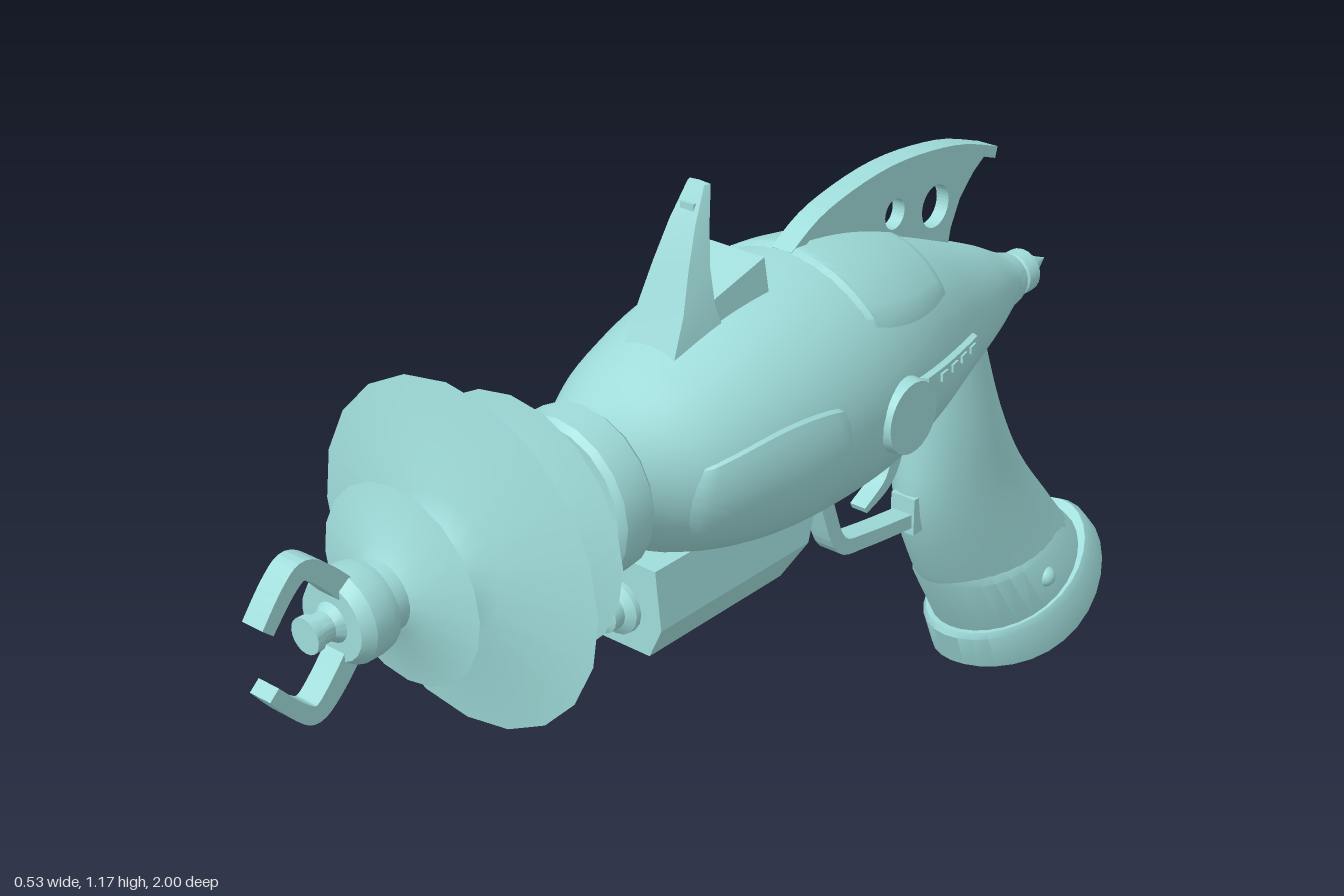
import * as THREE from 'three';
import { mergeVertices, toCreasedNormals } from 'three/addons/utils/BufferGeometryUtils.js';
import { ConvexGeometry } from 'three/addons/geometries/ConvexGeometry.js';

const teal = new THREE.MeshStandardMaterial({ color: 0x9fdcda });
teal.name = 'paleTeal';

// Smooth interpolation through the rows of a table, t in 0..1
function sample(rows, t) {
  const f = Math.min(Math.max(t, 0), 1) * (rows.length - 1);
  const i = Math.min(Math.floor(f), rows.length - 2), w = f - i;
  const row = k => rows[Math.min(Math.max(k, 0), rows.length - 1)];
  return rows[0].map((_, c) => {
    const [a, b, d, e] = [row(i - 1)[c], row(i)[c], row(i + 1)[c], row(i + 2)[c]];
    return b + 0.5 * w * (d - a + w * (2 * a - 5 * b + 4 * d - e + w * (3 * (b - d) + e - a)));
  });
}

// Surface from a rule f(u, v) -> [x, y, z]
function grid(nu, nv, f, crease = 0.6) {
  const pos = [], idx = [];
  for (let j = 0; j <= nv; j++) for (let i = 0; i <= nu; i++) pos.push(...f(i / nu, j / nv));
  for (let j = 0; j < nv; j++) for (let i = 0; i < nu; i++) {
    const a = j * (nu + 1) + i, d = a + nu + 1;
    idx.push(a, a + 1, d + 1, a, d + 1, d);
  }
  const geo = new THREE.BufferGeometry();
  geo.setAttribute('position', new THREE.Float32BufferAttribute(pos, 3));
  geo.setIndex(idx);
  return toCreasedNormals(mergeVertices(geo), crease);
}

// Body sections from nose to tail, evenly spaced in z: [top y, bottom y, half width]
const NOSE = 0.37, TAIL = -0.71;
const bodyRows = [
  [0.895, 0.675, 0.11], [0.94, 0.622, 0.17], [0.98, 0.585, 0.2], [1.0, 0.57, 0.213],
  [1.0, 0.568, 0.21], [0.98, 0.573, 0.19], [0.942, 0.59, 0.155], [0.895, 0.62, 0.115],
  [0.845, 0.66, 0.08], [0.79, 0.705, 0.042]];
function bodyPoint(a, z, lift = 0) {
  const [top, bottom, hx] = sample(bodyRows, (NOSE - z) / (NOSE - TAIL));
  return [(hx + lift) * Math.cos(a),
    (top + bottom) / 2 + ((top - bottom) / 2 + lift) * Math.sin(a), z];
}

// Thin raised panel hugging the body; round softens its corners
function panel(a0, a1, z0, z1, lift, round) {
  const n = 18;
  return grid(n, n, (u, v) => {
    const p = 2 * u - 1, q = 2 * v - 1;
    const edge = u === 0 || u === 1 || v === 0 || v === 1;
    const a = (a0 + a1) / 2 + (a1 - a0) / 2 * p * Math.sqrt(1 - round * q * q);
    const z = (z0 + z1) / 2 + (z1 - z0) / 2 * q * Math.sqrt(1 - round * p * p);
    return bodyPoint(a, z, edge ? -0.004 : lift);
  });
}

// Flat plate drawn in (z, y), centred on x = 0
function plate(pts, halfWidth, holes = []) {
  const shape = new THREE.Shape(pts.map(p => new THREE.Vector2(p[0], p[1])));
  for (const [z, y, r] of holes) shape.holes.push(new THREE.Path().absarc(z, y, r, 0, Math.PI * 2, true));
  const geo = new THREE.ExtrudeGeometry(shape, { depth: halfWidth * 2, bevelEnabled: false, curveSegments: 20 });
  return geo.translate(0, 0, -halfWidth).rotateY(-Math.PI / 2);
}

// Bent strip along a (z, y) path with a tapering thickness
function strip(path, t0, t1, halfWidth) {
  const curve = new THREE.SplineCurve(path.map(p => new THREE.Vector2(p[0], p[1])));
  const one = [], two = [], n = 20;
  for (let i = 0; i <= n; i++) {
    const p = curve.getPoint(i / n), d = curve.getTangent(i / n);
    const t = (t0 + (t1 - t0) * i / n) / 2;
    one.push([p.x - d.y * t, p.y + d.x * t]);
    two.unshift([p.x + d.y * t, p.y - d.x * t]);
  }
  return plate([...one, ...two], halfWidth);
}

// Turned part along z from [radius, z] points
function turned(pts, sides, y) {
  const geo = new THREE.LatheGeometry(pts.map(p => new THREE.Vector2(p[0], p[1])), sides);
  return toCreasedNormals(geo.rotateX(Math.PI / 2), 0.5).translate(0, y, 0);
}

// Oval loft; rows: [front z, front y, back z, back y, half width, sag, scale]
function ovalLoft(rows, steps, smooth) {
  return grid(32, steps, (u, v) => {
    const lin = rows[Math.round(v * (rows.length - 1))];
    const [fz, fy, bz, by, hw, sag, r] = smooth ? sample(rows, v) : lin;
    const c = Math.cos(u * Math.PI * 2) * r, s = Math.sin(u * Math.PI * 2) * r;
    const dz = (bz - fz) / 2, dy = (by - fy) / 2, len = Math.hypot(dz, dy);
    const drop = sag * (1 - c * c);
    return [hw * s, (fy + by) / 2 + dy * c + dz / len * drop, (fz + bz) / 2 + dz * c - dy / len * drop];
  });
}

export function createModel() {
  const model = new THREE.Group();
  model.name = 'rayGun';
  const add = (name, geo, x = 0, y = 0, z = 0) => {
    const mesh = new THREE.Mesh(geo, teal);
    mesh.name = name;
    mesh.position.set(x, y, z);
    model.add(mesh);
    return mesh;
  };

  // Body with its raised panels
  add('body', grid(40, 40, (u, v) => bodyPoint(u * Math.PI * 2, TAIL + (NOSE - TAIL) * v)));
  add('saddlePanel', panel(0.5, Math.PI - 0.5, -0.36, -0.07, 0.006, 0.2));
  add('leftSidePanel', panel(-0.75, 0.35, 0.0, 0.31, 0.004, 0.3));
  add('rightSidePanel', panel(Math.PI - 0.35, Math.PI + 0.75, 0.0, 0.31, 0.004, 0.3));

  // Barrel with collar and three sharp cooling discs
  add('barrel', turned([
    [0, 0.365], [0.125, 0.365], [0.134, 0.375], [0.134, 0.43], [0.125, 0.44], [0.085, 0.44],
    [0.075, 0.452], [0.06, 0.468], [0.068, 0.485], [0.1, 0.497], [0.203, 0.517], [0.1, 0.537],
    [0.065, 0.55], [0.056, 0.57], [0.07, 0.59], [0.11, 0.608], [0.267, 0.636], [0.11, 0.664],
    [0.075, 0.676], [0.056, 0.69], [0.056, 0.71], [0.075, 0.724], [0.152, 0.743], [0.075, 0.762],
    [0.052, 0.775], [0.052, 0.8], [0.066, 0.805], [0.07, 0.82], [0.07, 0.85], [0.058, 0.868],
    [0.03, 0.868], [0.022, 0.88], [0.022, 0.9], [0.027, 0.902], [0.027, 0.915], [0, 0.915]], 20, 0.775));

  // Two claws around the muzzle
  const claw = [[0.84, 0.81], [0.885, 0.86], [0.92, 0.885], [0.95, 0.868], [0.99, 0.822]];
  add('upperClaw', strip(claw, 0.035, 0.022, 0.02));
  add('lowerClaw', strip(claw.map(([z, y]) => [z, 1.55 - y]), 0.035, 0.022, 0.02));

  // Tail point
  add('tailPoint', turned([[0, -0.825], [0.027, -0.757], [0.04, -0.752], [0.04, -0.722],
    [0.03, -0.716], [0.03, -0.7], [0.046, -0.7], [0.05, -0.675], [0, -0.675]], 20, 0.745));

  // Rear fin with two holes and a thicker rim
  add('rearFin', plate([[-0.08, 0.995], [-0.17, 1.035], [-0.3, 1.06], [-0.45, 1.055], [-0.61, 1.01],
    [-0.57, 0.985], [-0.535, 0.95], [-0.512, 0.905], [-0.5, 0.85], [-0.3, 0.9], [-0.1, 0.95]], 0.012,
  [[-0.465, 0.957, 0.037], [-0.353, 0.978, 0.026]]));
  add('rearFinRim', strip([[-0.08, 0.995], [-0.17, 1.037], [-0.33, 1.06], [-0.5, 1.045], [-0.625, 1.007]],
    0.016, 0.02, 0.02));

  // Front sight: swept blade, tab and wedge
  const bladeRows = [[0.93, 0.235, 0.12, 0.062], [1.0, 0.203, 0.145, 0.055], [1.06, 0.18, 0.142, 0.043],
    [1.12, 0.153, 0.128, 0.031], [1.172, 0.122, 0.112, 0.02], [1.175, 0.115, 0.115, 0]];
  add('sightBlade', grid(4, 5, (u, v) => {
    const [y, zf, zb, hw] = bladeRows[Math.round(v * 5)], k = Math.round(u * 4) % 4;
    return [[-0.8, 0.8, 1, -1][k] * hw, y, k < 2 ? zf : zb];
  }));
  add('sightTab', new THREE.BoxGeometry(0.026, 0.055, 0.036), 0, 1.12, 0.125);
  const wedge = [];
  for (const s of [-1, 1]) wedge.push(
    new THREE.Vector3(s * 0.05, 0.95, 0.18), new THREE.Vector3(s * 0.05, 1.0, 0.17),
    new THREE.Vector3(s * 0.062, 1.045, 0.04), new THREE.Vector3(s * 0.065, 0.97, 0.03));
  add('sightWedge', new ConvexGeometry(wedge));

  // Dial and slider on the left side
  const dial = add('dial', new THREE.CylinderGeometry(0.06, 0.065, 0.05, 28), 0.199, 0.765, -0.128);
  dial.rotation.z = -Math.PI / 2;
  add('slider', panel(-0.1, 0.14, -0.42, -0.17, 0.012, 0));
  for (let i = 0; i < 4; i++) {
    const z = -0.24 - i * 0.045;
    add('sliderMark', panel(0.03, 0.1, z - 0.014, z + 0.014, 0.016, 0));
  }

  // Chamfered box under the nose with antenna
  const box = [];
  for (const s of [-1, 1]) for (const [x, y, z0, z1] of
    [[0.075, 0.63, 0.31, -0.09], [0.085, 0.53, 0.31, -0.045], [0.06, 0.477, 0.31, -0.005]])
    box.push(new THREE.Vector3(s * x, y, z0), new THREE.Vector3(s * x, y, z1));
  add('underBox', new ConvexGeometry(box));
  add('antenna', turned([[0, 0.3], [0.045, 0.3], [0.045, 0.32], [0.03, 0.33], [0.03, 0.35],
    [0.014, 0.357], [0.005, 0.36], [0.005, 0.455], [0, 0.455]], 16, 0.545));
  add('antennaBall', new THREE.SphereGeometry(0.018, 16, 12), 0, 0.545, 0.462);

  // Keel, trigger and guard
  add('keel', plate([[-0.06, 0.6], [-0.08, 0.562], [-0.2, 0.558], [-0.45, 0.592], [-0.55, 0.62], [-0.55, 0.66]], 0.04));
  add('trigger', strip([[-0.375, 0.61], [-0.375, 0.54], [-0.35, 0.49], [-0.29, 0.46]], 0.045, 0.012, 0.016));
  add('triggerGuard', strip([[-0.165, 0.57], [-0.185, 0.5], [-0.22, 0.425], [-0.29, 0.405], [-0.44, 0.383]],
    0.032, 0.026, 0.02));
  add('guardClip', new THREE.BoxGeometry(0.05, 0.07, 0.025), 0, 0.395, -0.43);

  // Grip, heel cap and rivets
  add('grip', ovalLoft([
    [-0.435, 0.69, -0.6, 0.71, 0.06, 0, 1], [-0.425, 0.54, -0.66, 0.54, 0.078, 0, 1],
    [-0.428, 0.39, -0.742, 0.4, 0.086, 0, 1], [-0.487, 0.25, -0.834, 0.288, 0.097, 0, 1],
    [-0.55, 0.15, -0.87, 0.245, 0.106, 0.01, 1], [-0.59, 0.08, -0.92, 0.19, 0.112, 0.02, 1]], 20, true));
  add('gripBand', ovalLoft([
    [-0.5, 0.232, -0.845, 0.262, 0.096, 0.015, 1], [-0.507, 0.212, -0.862, 0.248, 0.108, 0.015, 1],
    [-0.585, 0.08, -0.925, 0.19, 0.117, 0.025, 1]], 2, false));
  const heel = [-0.588, 0.012, -0.998, 0.155];
  add('heelCap', ovalLoft([
    [-0.6, 0.09, -0.92, 0.195, 0.1, 0.025, 1], [-0.565, 0.092, -0.938, 0.207, 0.124, 0.028, 1],
    [-0.562, 0.08, -0.96, 0.195, 0.132, 0.03, 1], [...heel, 0.132, 0.055, 1],
    [...heel, 0.132, 0.055, 0.92], [...heel, 0.132, 0.055, 0.5], [...heel, 0.132, 0.055, 0]], 6, false));
  for (const s of [-1, 1]) add('rivet', new THREE.SphereGeometry(0.02, 16, 12), s * 0.105, 0.17, -0.727);

  return model;
}
